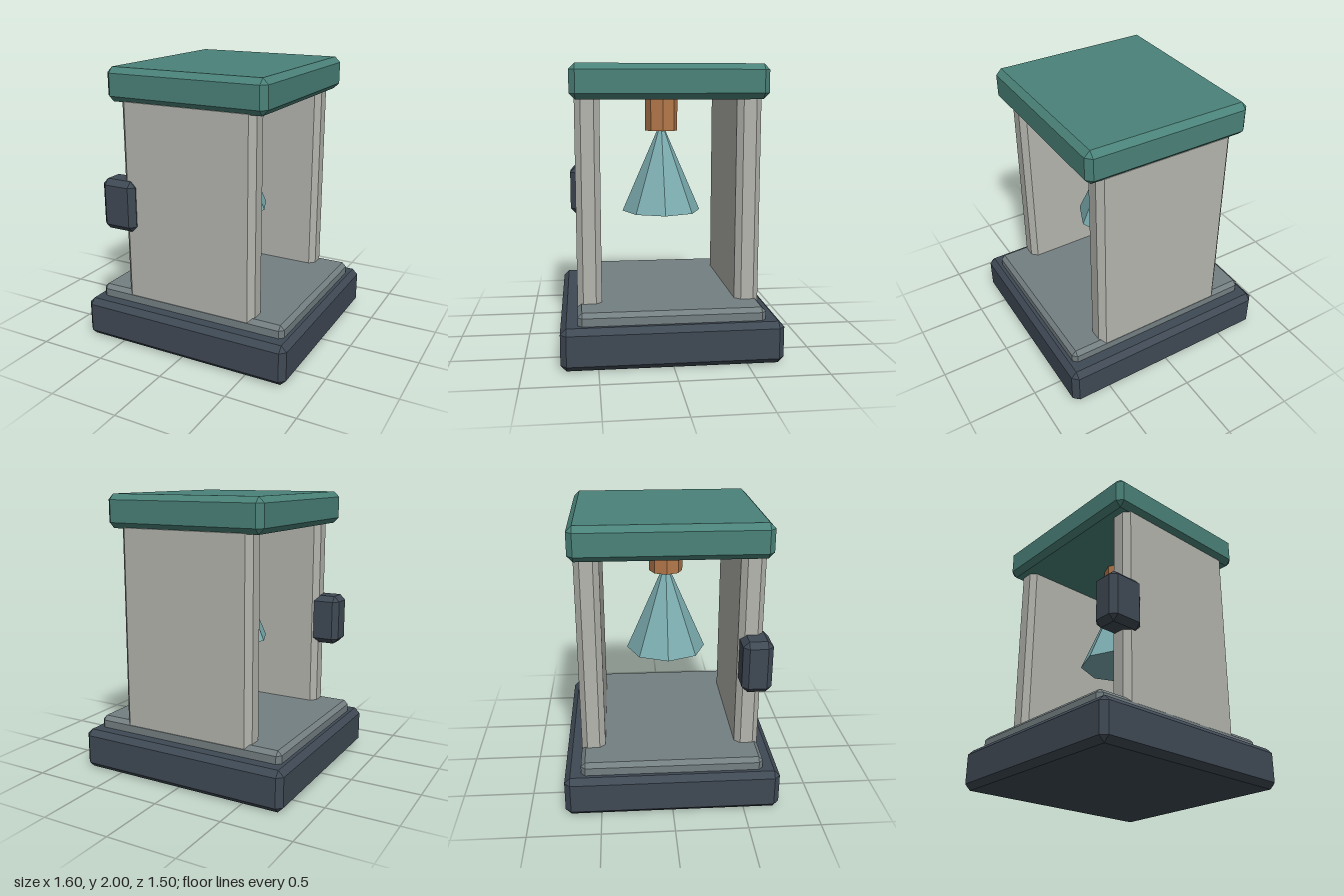
import * as THREE from 'three';
import { ConvexGeometry } from 'three/addons/geometries/ConvexGeometry.js';

function material(name, color) {
  const m = new THREE.MeshStandardMaterial({ color });
  m.name = name;
  return m;
}

// Box with every edge cut at 45 degrees and triangular corners
function chamferBox(w, h, d, c) {
  const half = [w / 2, h / 2, d / 2];
  const points = [];
  for (const sx of [-1, 1]) for (const sy of [-1, 1]) for (const sz of [-1, 1]) {
    for (let axis = 0; axis < 3; axis++) {
      const p = half.map((v, i) => (i === axis ? v : v - c));
      points.push(new THREE.Vector3(sx * p[0], sy * p[1], sz * p[2]));
    }
  }
  return new ConvexGeometry(points);
}

export function createModel() {
  const group = new THREE.Group();
  const slate = material('dark slate', 0x3f4954);
  const stone = material('grey stone', 0x747f82);
  const plaster = material('pale plaster', 0xb4b5ae);
  const teal = material('teal', 0x4a8279);
  const copper = material('copper', 0xb5794a);
  const paleTeal = material('pale teal', 0x7cadb0);

  const add = (name, geometry, mat, x, y, z) => {
    const mesh = new THREE.Mesh(geometry, mat);
    mesh.name = name;
    mesh.position.set(x, y, z);
    group.add(mesh);
    return mesh;
  };
  const block = (name, mat, [x0, x1], [y0, y1], [z0, z1], c) =>
    add(name, chamferBox(x1 - x0, y1 - y0, z1 - z0, c), mat,
      (x0 + x1) / 2, (y0 + y1) / 2, (z0 + z1) / 2);

  // Stepped base
  block('base', slate, [-0.8, 0.8], [0, 0.29], [-0.75, 0.75], 0.04);
  block('floorPlate', stone, [-0.735, 0.735], [0.22, 0.375], [-0.635, 0.635], 0.03);

  // Front and back walls
  block('frontWall', plaster, [-0.51, 0.51], [0.27, 1.81], [0.465, 0.633], 0.04);
  block('backWall', plaster, [-0.51, 0.51], [0.27, 1.81], [-0.633, -0.465], 0.04);

  // Roof slab
  block('roof', teal, [-0.6, 0.6], [1.765, 2], [-0.665, 0.665], 0.04);

  // Side box on the front wall's edge
  block('sideBox', slate, [-0.67, -0.4], [0.845, 1.215], [0.475, 0.68], 0.04);

  // Hanging lamp: eight-sided mount and cone
  const mount = new THREE.CylinderGeometry(0.12, 0.12, 0.27, 8).toNonIndexed();
  mount.computeVertexNormals();
  add('lampMount', mount, copper, 0, 1.665, 0);
  const cone = new THREE.ConeGeometry(0.29, 0.665, 8).toNonIndexed();
  cone.computeVertexNormals();
  add('lampCone', cone, paleTeal, 0, 1.2675, 0);

  return group;
}
